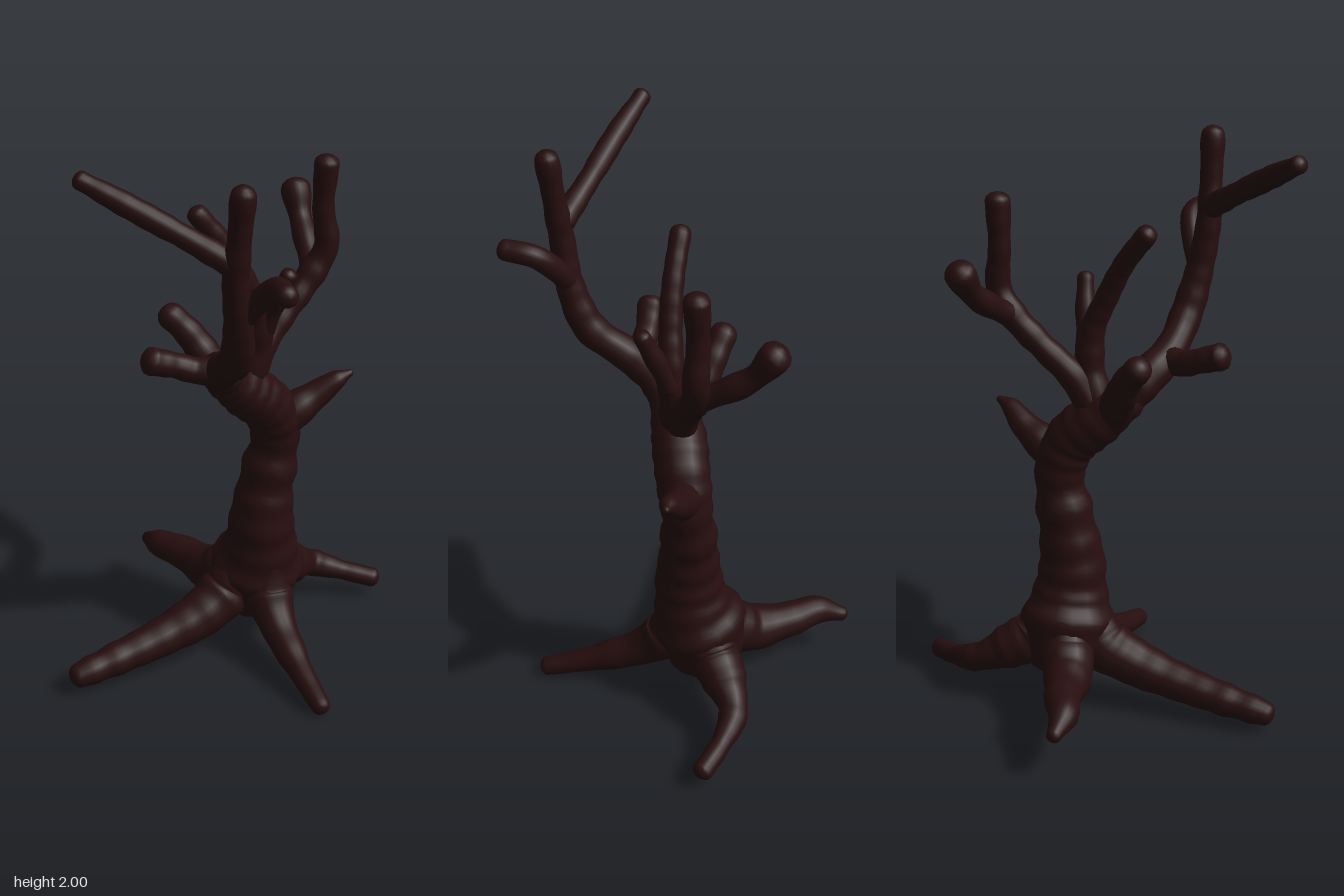
import * as THREE from 'three';

const SIDES = 16;
const bark = new THREE.MeshStandardMaterial({ color: 0x270e0f });
bark.name = 'darkBark';

// Gnarled surface: gentle lumps that depend on position only
const lump = (p) => 1
  + 0.04 * Math.sin(p.x * 43 + p.y * 19 + 1.3) * Math.sin(p.z * 39 - p.y * 23)
  + 0.03 * Math.sin(p.y * 31 + p.x * 37 - p.z * 41)
  + 0.025 * Math.sin(p.y * 67 - p.x * 59 + p.z * 53);

// Round-ended limb swept through [x, y, z, radius] stations
function limb(name, stations) {
  const path = new THREE.CatmullRomCurve3(stations.map(([x, y, z]) => new THREE.Vector3(x, y, z)));
  const girth = new THREE.CatmullRomCurve3(stations.map((s, i) => new THREE.Vector3(s[3], i, 0)), false, 'catmullrom', 0.3);
  const steps = (stations.length - 1) * 9;
  const rings = [];
  const cap = (t, sign) => {
    const c = path.getPoint(t), d = path.getTangent(t), r = girth.getPoint(t).x;
    return [0.3, 0.6, 0.85, 1].map((k) => {
      const a = k * Math.PI / 2;
      return { c: c.clone().addScaledVector(d, sign * r * 0.7 * Math.sin(a)), d, r: r * Math.max(Math.cos(a), 0.01) };
    });
  };
  rings.push(...cap(0, -1).reverse());
  for (let i = 0; i <= steps; i++) {
    const t = i / steps;
    rings.push({ c: path.getPoint(t), d: path.getTangent(t), r: girth.getPoint(t).x });
  }
  rings.push(...cap(1, 1));

  const pos = [], index = [];
  const n = new THREE.Vector3(0.31, 0.17, 0.93), b = new THREE.Vector3();
  rings.forEach(({ c, d, r }, i) => {
    n.addScaledVector(d, -n.dot(d)).normalize(); // carry the frame along the path
    b.crossVectors(d, n);
    for (let j = 0; j < SIDES; j++) {
      const a = j / SIDES * Math.PI * 2;
      const out = n.clone().multiplyScalar(Math.cos(a)).addScaledVector(b, Math.sin(a));
      const p = c.clone().addScaledVector(out, r);
      p.copy(c).addScaledVector(out, r * lump(p));
      pos.push(p.x, p.y, p.z);
      if (i < rings.length - 1) {
        const k = (j + 1) % SIDES, u = i * SIDES, v = u + SIDES;
        index.push(u + j, u + k, v + j, u + k, v + k, v + j);
      }
    }
  });
  const g = new THREE.BufferGeometry();
  g.setAttribute('position', new THREE.Float32BufferAttribute(pos, 3));
  g.setIndex(index);
  g.computeVertexNormals();
  const mesh = new THREE.Mesh(g, bark);
  mesh.name = name;
  return mesh;
}

const LIMBS = {
  // Trunk leaning into the main fork
  trunk: [[0.08, 0.2, -0.17, 0.14], [0.088, 0.28, -0.163, 0.16], [0.108, 0.4, -0.137, 0.137], [0.113, 0.52, -0.125, 0.115],
    [0.125, 0.65, -0.135, 0.1], [0.155, 0.85, -0.145, 0.086], [0.135, 0.96, -0.115, 0.09], [0.06, 1.06, -0.045, 0.09], [0.0, 1.14, 0.025, 0.072]],
  // Roots, sweeping down out of the trunk as buttresses
  rootBackRight: [[0.035, 0.38, -0.195, 0.045], [0.0, 0.26, -0.22, 0.09], [-0.08, 0.2, -0.265, 0.086], [-0.2, 0.2, -0.36, 0.062], [-0.29, 0.2, -0.41, 0.05], [-0.35, 0.175, -0.485, 0.025]],
  rootFrontRight: [[0.045, 0.38, -0.085, 0.045], [0.0, 0.25, -0.085, 0.09], [-0.08, 0.18, -0.01, 0.084], [-0.2, 0.135, 0.08, 0.07], [-0.35, 0.1, 0.185, 0.06], [-0.485, 0.075, 0.28, 0.045]],
  rootFrontLeft: [[0.15, 0.38, -0.07, 0.045], [0.145, 0.25, -0.065, 0.085], [0.185, 0.165, 0.015, 0.068], [0.24, 0.115, 0.11, 0.054], [0.31, 0.07, 0.23, 0.043], [0.365, 0.04, 0.32, 0.032]],
  rootBackLeft: [[0.14, 0.38, -0.22, 0.045], [0.15, 0.26, -0.25, 0.09], [0.2, 0.2, -0.335, 0.075], [0.27, 0.15, -0.42, 0.05], [0.38, 0.11, -0.445, 0.039], [0.505, 0.08, -0.45, 0.034]],
  // Broken spur on the left of the trunk
  spur: [[0.19, 0.91, -0.15, 0.072], [0.24, 0.945, -0.175, 0.06], [0.3, 0.985, -0.2, 0.047], [0.36, 1.03, -0.215, 0.034], [0.405, 1.05, -0.235, 0.012]],
  // Front bough and its offshoots
  frontBough: [[0.01, 1.13, 0.015, 0.068], [-0.01, 1.2, 0.1, 0.066], [0.015, 1.265, 0.21, 0.058], [0.065, 1.35, 0.305, 0.054],
    [0.08, 1.5, 0.37, 0.049], [0.075, 1.68, 0.403, 0.043], [0.088, 1.82, 0.418, 0.039], [0.1, 1.96, 0.43, 0.039]],
  longBranch: [[0.06, 1.725, 0.405, 0.042], [-0.08, 1.805, 0.405, 0.038], [-0.24, 1.895, 0.41, 0.038], [-0.39, 1.975, 0.41, 0.031]],
  frontTwig: [[0.085, 1.52, 0.37, 0.04], [0.14, 1.59, 0.385, 0.038], [0.2, 1.655, 0.42, 0.037], [0.24, 1.67, 0.505, 0.036]],
  sideTwig: [[0.0, 1.245, 0.185, 0.05], [-0.08, 1.25, 0.195, 0.044], [-0.14, 1.275, 0.215, 0.043], [-0.21, 1.305, 0.255, 0.046]],
  sideStump: [[0.0, 1.1, -0.02, 0.065], [-0.07, 1.18, -0.045, 0.056], [-0.13, 1.26, -0.055, 0.05], [-0.195, 1.325, -0.055, 0.046]],
  // Middle branch with a short stub
  middleBranch: [[0.07, 1.12, -0.05, 0.058], [0.1, 1.23, -0.055, 0.05], [0.1, 1.36, -0.045, 0.044], [0.06, 1.48, -0.015, 0.04],
    [0.0, 1.61, 0.015, 0.036], [-0.087, 1.73, 0.047, 0.036]],
  middleStub: [[0.12, 1.29, -0.055, 0.038], [0.16, 1.39, -0.035, 0.033], [0.205, 1.51, -0.005, 0.028]],
  // Back bough splitting in two
  backBough: [[0.08, 1.12, -0.07, 0.056], [0.115, 1.21, -0.115, 0.05], [0.19, 1.31, -0.19, 0.045], [0.27, 1.42, -0.26, 0.046],
    [0.308, 1.5, -0.28, 0.042], [0.295, 1.64, -0.28, 0.037], [0.303, 1.795, -0.278, 0.041]],
  backTwig: [[0.26, 1.42, -0.28, 0.04], [0.24, 1.465, -0.35, 0.041], [0.21, 1.53, -0.43, 0.042], [0.185, 1.62, -0.49, 0.049]],
};

export function createModel() {
  const tree = new THREE.Group();
  tree.name = 'bareTree';
  for (const [name, stations] of Object.entries(LIMBS)) tree.add(limb(name, stations));
  return tree;
}
